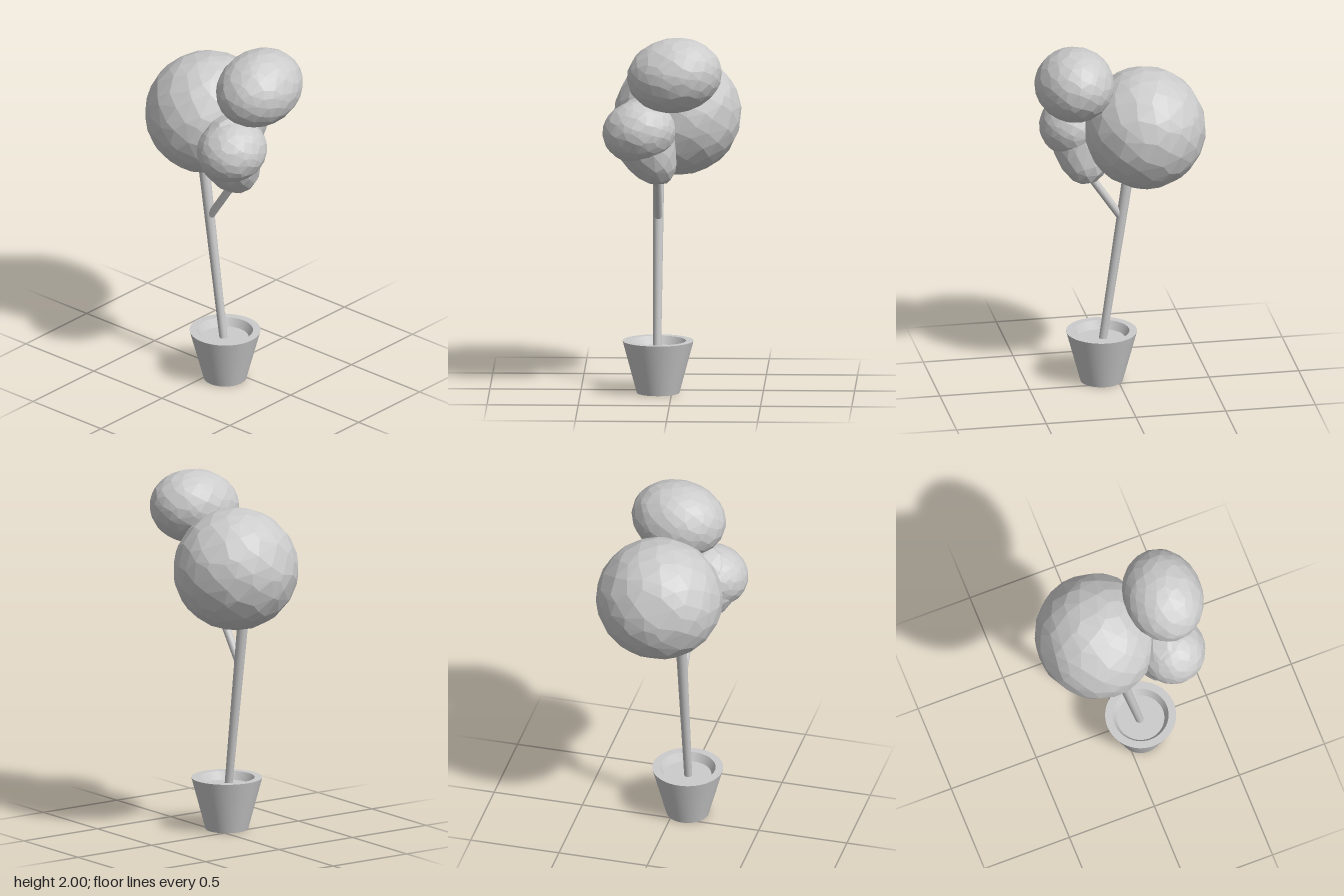
import * as THREE from 'three';
import { ConvexGeometry } from 'three/addons/geometries/ConvexGeometry.js';
import { toCreasedNormals } from 'three/addons/utils/BufferGeometryUtils.js';

const V = (x, y, z) => new THREE.Vector3(x, y, z);

function seeded(seed) {
  return () => {
    seed = (seed * 16807) % 2147483647;
    return seed / 2147483647;
  };
}

// Unevenly faceted ball: hull of jittered spiral points, shaped by a rule
function facetedBall(count, seed, shape) {
  const rand = seeded(seed);
  const points = [];
  for (let i = 0; i < count; i++) {
    const y = 1 - (2 * (i + 0.5)) / count;
    const a = i * 2.39996;
    const r = Math.sqrt(1 - y * y);
    const p = V(r * Math.cos(a), y, r * Math.sin(a));
    const j = 1.1 / Math.sqrt(count);
    p.add(V(rand() - 0.5, rand() - 0.5, rand() - 0.5).multiplyScalar(2 * j)).normalize();
    points.push(shape(p));
  }
  return new ConvexGeometry(points);
}

export function createModel() {
  const model = new THREE.Group();
  const smooth = new THREE.MeshStandardMaterial({ color: 0xcccccc });
  const faceted = new THREE.MeshStandardMaterial({ color: 0xcccccc, flatShading: true });

  function add(name, geometry, material, parent = model) {
    const mesh = new THREE.Mesh(geometry, material);
    mesh.name = name;
    parent.add(mesh);
    return mesh;
  }

  // Tapered round stem between two points
  function stem(name, from, to, r0, r1) {
    const dir = to.clone().sub(from);
    const mesh = add(name, new THREE.CylinderGeometry(r1, r0, dir.length(), 16), smooth);
    mesh.position.copy(from).addScaledVector(dir, 0.5);
    mesh.quaternion.setFromUnitVectors(V(0, 1, 0), dir.normalize());
  }

  // Pot with a thick rim, closed by the soil surface inside
  const potProfile = [[0, 0], [0.117, 0], [0.195, 0.29], [0.153, 0.29], [0.13, 0.245], [0, 0.245]]
    .map(([r, y]) => new THREE.Vector2(r, y));
  const pot = add('pot', toCreasedNormals(new THREE.LatheGeometry(potProfile, 48), 0.6), smooth);
  pot.position.set(-0.075, 0, 0.085);

  // Leaning trunk and its side branch
  stem('trunk', V(-0.08, 0.24, 0.077), V(-0.075, 1.5, -0.107), 0.022, 0.033);
  stem('branch', V(-0.077, 0.95, -0.026), V(-0.077, 1.32, 0.225), 0.022, 0.022);

  // Foliage: centre, radii, tilt about z, number of points
  const foliage = new THREE.Group();
  foliage.name = 'foliage';
  model.add(foliage);
  const balls = [
    ['largeFoliage', [0.027, 1.515, -0.138], [0.35, 0.338, 0.335], 0, 190],
    ['topFoliage', [0.02, 1.795, 0.253], [0.263, 0.206, 0.219], 0.14, 210],
    ['sideFoliage', [-0.175, 1.475, 0.225], [0.202, 0.172, 0.187], 0.1, 210],
  ];
  balls.forEach(([name, centre, radii, tilt, count], i) => {
    const scale = V(...radii);
    const mesh = add(name, facetedBall(count, 71 + i * 37, (p) => p.multiply(scale)), faceted, foliage);
    mesh.position.set(...centre);
    mesh.rotation.z = tilt;
  });

  // Lower clump: egg leaning in towards the branch, with a flattened base
  const clump = facetedBall(110, 311, (p) => {
    const down = Math.max(0, -p.y);
    const taper = 1 - 0.12 * down;
    return V(0.18 * p.x * taper + 0.09 * down, Math.max(0.25 * p.y, -0.235), 0.165 * p.z - 0.02 * down);
  });
  add('lowerFoliage', clump, faceted, foliage).position.set(-0.16, 1.415, 0.19);

  return model;
}
